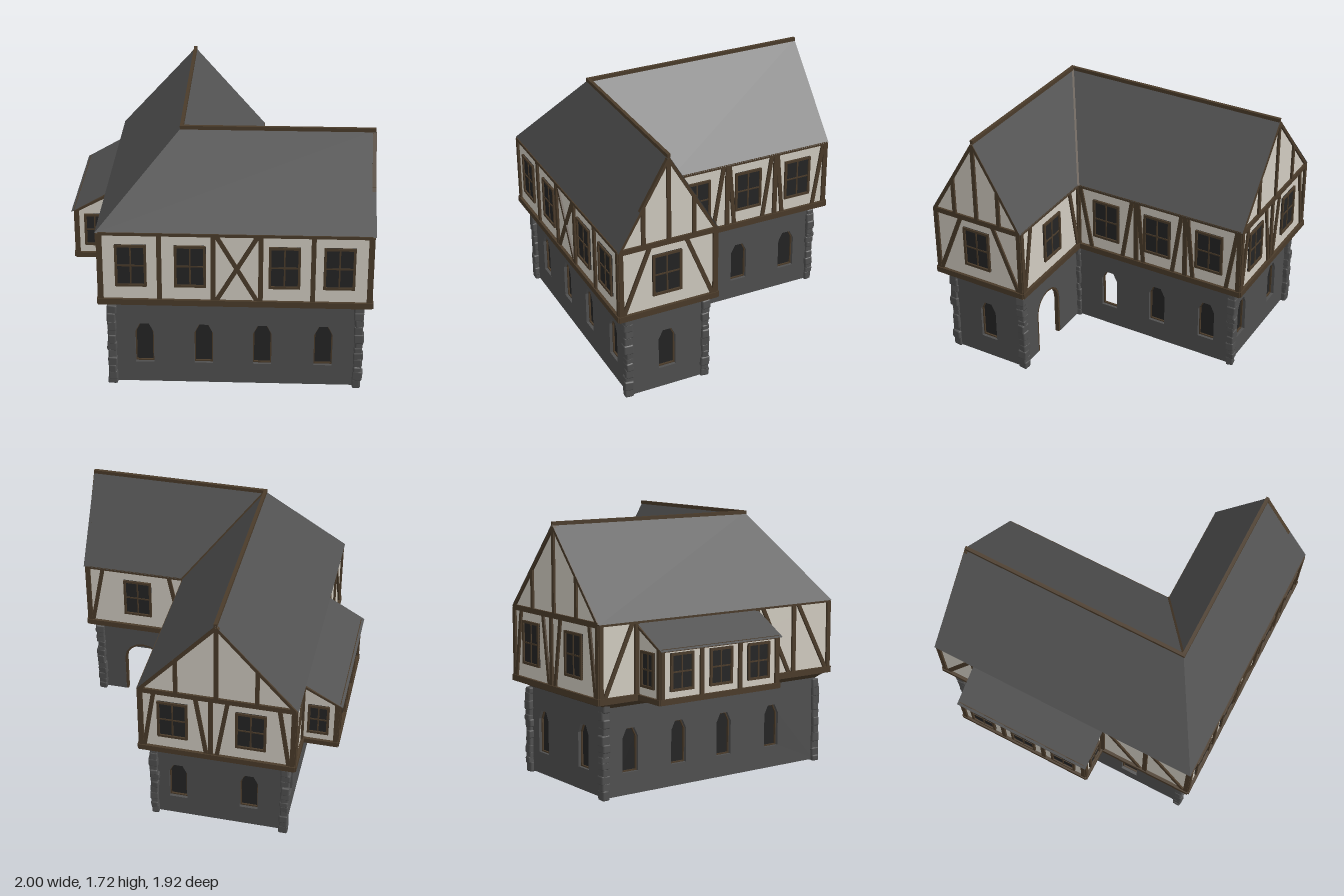
import * as THREE from 'three';
import { RoundedBoxGeometry } from 'three/addons/geometries/RoundedBoxGeometry.js';

const mat = (name, color, double = false) => {
  const m = new THREE.MeshStandardMaterial({ color });
  m.name = name;
  if (double) m.side = THREE.DoubleSide;
  return m;
};

export function createModel() {
  const plaster = mat('plaster', 0xd0cbc0, true);
  const timber = mat('timber', 0x4a3b2a, true);
  const stone = mat('stone', 0x4f4f4f, true);
  const slate = mat('slate', 0x515151, true);
  const glass = mat('darkGlass', 0x242424, true);
  const model = new THREE.Group();
  model.name = 'timberFramedHouse';

  let seed = 7;
  const rand = () => (seed = (seed * 16807) % 2147483647) / 2147483647;
  const add = (parent, name, geo, material, x = 0, y = 0, z = 0) => {
    const m = new THREE.Mesh(geo, material);
    m.name = name;
    m.position.set(x, y, z);
    parent.add(m);
    return m;
  };
  // One side of the house: local x runs along the wall, local z points outward
  const side = (name, angle, x, z) => {
    const g = new THREE.Group();
    g.name = name;
    g.rotation.y = angle;
    g.position.set(x, 0, z);
    model.add(g);
    return g;
  };
  const poly = (pts) => new THREE.Shape(pts.map(([x, y]) => new THREE.Vector2(x, y)));
  const beam = (g, x1, y1, x2, y2, w = 0.03, d = 0.024) => {
    const m = add(g, 'beam', new THREE.BoxGeometry(Math.hypot(x2 - x1, y2 - y1), w, d),
      timber, (x1 + x2) / 2, (y1 + y2) / 2, 0.002);
    m.rotation.z = Math.atan2(y2 - y1, x2 - x1);
  };
  const quads = (name, list, material) => {
    const pos = [];
    for (const [a, b, c, d] of list) pos.push(...a, ...b, ...c, ...a, ...c, ...d);
    const geo = new THREE.BufferGeometry();
    geo.setAttribute('position', new THREE.Float32BufferAttribute(pos, 3));
    geo.computeVertexNormals();
    return add(model, name, geo, material);
  };

  // Leaded window with frame and glazing bars
  const window4 = (g, x, w = 0.2, y0 = 0.76, y1 = 1.05) => {
    const y = (y0 + y1) / 2, h = y1 - y0, f = 0.016;
    add(g, 'windowGlass', new THREE.BoxGeometry(w, h, 0.009), glass, x, y, 0);
    for (const s of [-1, 1]) {
      add(g, 'windowFrame', new THREE.BoxGeometry(f, h, 0.03), timber, x + s * (w - f) / 2, y, 0);
      add(g, 'windowFrame', new THREE.BoxGeometry(w, f, 0.03), timber, x, y + s * (h - f) / 2, 0);
    }
    add(g, 'glazingBar', new THREE.BoxGeometry(0.01, h, 0.018), timber, x, y, 0);
    add(g, 'glazingBar', new THREE.BoxGeometry(w, 0.01, 0.018), timber, x, y, 0);
  };

  // Ground floor: stone wall with chamfer-headed windows and an optional door
  const arch = (x, i = 0) => [[x - 0.06 + i, 0.16 + i], [x + 0.06 - i, 0.16 + i], [x + 0.06 - i, 0.385],
    [x + 0.03 - i / 2, 0.445 - i], [x - 0.03 + i / 2, 0.445 - i], [x - 0.06 + i, 0.385]];
  const doorPts = (x, r) => {
    const p = [[x - r, 0.015]];
    for (let i = 0; i <= 8; i++) {
      const a = Math.PI * (1 - i / 8);
      p.push([x + r * Math.cos(a), 0.31 + r * Math.sin(a)]);
    }
    p.push([x + r, 0.015]);
    return p;
  };
  const lowerWall = (g, u0, u1, wins, open = [], door = null) => {
    const shape = poly([[u0, 0.015], ...(door === null ? [] : doorPts(door, 0.14)), [u1, 0.015], [u1, 0.61], [u0, 0.61]]);
    for (const x of wins) {
      shape.holes.push(poly(arch(x)));
      const frame = poly(arch(x));
      frame.holes.push(poly(arch(x, 0.008)));
      add(g, 'archWindowFrame', new THREE.ExtrudeGeometry(frame, { depth: 0.015, bevelEnabled: false }), timber, 0, 0, -0.035);
      if (!open.includes(x)) add(g, 'archWindowGlass', new THREE.ShapeGeometry(poly(arch(x))), glass, 0, 0, -0.032);
    }
    add(g, 'stoneWall', new THREE.ExtrudeGeometry(shape, { depth: 0.04, bevelEnabled: false }), stone, 0, 0, -0.04);
    if (door !== null) {
      const frame = poly([...doorPts(door, 0.14), ...doorPts(door, 0.125).reverse()]);
      add(g, 'doorFrame', new THREE.ExtrudeGeometry(frame, { depth: 0.03, bevelEnabled: false }), timber, 0, 0, -0.032);
    }
  };
  const H = Math.PI / 2;
  lowerWall(side('lowerFront', 0, 0, 0.87), -0.69, 0.93, [-0.47, -0.085, 0.295, 0.69]);
  lowerWall(side('lowerEnd', H, 0.93, 0), -0.87, -0.33, [-0.6]);
  lowerWall(side('lowerInnerRight', H, 0.21, 0), -0.33, 0.87, [-0.07, 0.305, 0.685], [-0.07]);
  lowerWall(side('lowerInnerBack', 2 * H, 0, 0.33), -0.93, -0.21, [], [], -0.6);
  lowerWall(side('lowerBack', 2 * H, 0, -0.87), -0.21, 0.69, [-0.04, 0.44]);
  lowerWall(side('lowerLeft', -H, -0.69, 0), -0.87, 0.87, [-0.68, -0.3, 0.07, 0.48]);

  // Rough corner pillars of stacked stones
  for (const [x, z] of [[-0.68, 0.87], [0.915, 0.87], [0.915, 0.33], [0.2, 0.33], [0.2, -0.875], [-0.68, -0.875]]) {
    const g = new THREE.Group();
    g.name = 'cornerPillar';
    g.position.set(x, 0, z);
    model.add(g);
    for (let y = 0.005; y < 0.57;) {
      const h = 0.03 + rand() * 0.03;
      const s = add(g, 'pillarStone', new RoundedBoxGeometry(0.05 + rand() * 0.016, h + 0.012, 0.05 + rand() * 0.016, 1, 0.01),
        stone, (rand() - 0.5) * 0.008, y + h / 2 + 0.006, (rand() - 0.5) * 0.008);
      s.rotation.set((rand() - 0.5) * 0.16, (rand() - 0.5) * 0.3, (rand() - 0.5) * 0.16);
      y += h;
    }
  }

  // Sloping jetty between the two floors
  const low = [[-0.69, 0.87], [0.93, 0.87], [0.93, 0.33], [0.21, 0.33], [0.21, -0.87], [-0.69, -0.87]];
  const up = [[-0.74, 0.94], [0.975, 0.94], [0.975, 0.28], [0.265, 0.28], [0.265, -0.945], [-0.74, -0.945]];
  quads('jetty', low.map((p, i) => {
    const j = (i + 1) % 6;
    return [[p[0], 0.59, p[1]], [low[j][0], 0.59, low[j][1]], [up[j][0], 0.635, up[j][1]], [up[i][0], 0.635, up[i][1]]];
  }), timber);

  // Upper floor: plaster wall with sill, top plate, posts and braces; optional gable apex
  const upperWall = (g, u0, u1, { posts = [], braces = [], wins = [], apex = null }) => {
    const pts = [[u0, 0.63], [u1, 0.63], [u1, 1.13]];
    if (apex !== null) pts.push([apex, 1.695]);
    pts.push([u0, 1.13]);
    add(g, 'plasterWall', new THREE.ShapeGeometry(poly(pts)), plaster);
    beam(g, u0 - 0.012, 0.65, u1 + 0.012, 0.65, 0.04, 0.036);
    beam(g, u0, 1.125, u1, 1.125, apex === null ? 0.02 : 0.035);
    for (const x of [u0 + 0.008, ...posts, u1 - 0.008]) beam(g, x, 0.64, x, 1.125);
    for (const [a, b] of braces) beam(g, a, 1.12, b, 0.665, 0.027, 0.02);
    for (const x of wins) window4(g, x);
    if (apex === null) return;
    const half = (u1 - u0) / 2;
    for (const k of [-0.52, 0, 0.52]) beam(g, apex + k * half, 1.13, apex + k * half, 1.69 - Math.abs(k) * 0.56, 0.026);
    for (const u of [u0, u1]) beam(g, u, 1.125, apex, 1.69, 0.02);
  };
  upperWall(side('upperFront', 0, 0, 0.94), -0.74, 0.975, {
    posts: [-0.36, -0.02, 0.28, 0.61], braces: [[0, 0.26], [0.26, 0]], wins: [-0.54, -0.165, 0.43, 0.775],
  });
  upperWall(side('upperEndGable', H, 0.975, 0), -0.94, -0.28, {
    braces: [[-0.735, -0.92], [-0.49, -0.305]], wins: [-0.62], apex: -0.607,
  });
  upperWall(side('upperInnerRight', H, 0.265, 0), -0.28, 0.945, {
    posts: [0.175, 0.545], wins: [-0.055, 0.335, 0.72],
    braces: [[-0.255, -0.17], [0.145, 0.07], [0.19, 0.23], [0.515, 0.45], [0.56, 0.605], [0.92, 0.85]],
  });
  upperWall(side('upperInnerBack', 2 * H, 0, 0.28), -0.975, -0.265, {
    braces: [[-0.86, -0.95], [-0.38, -0.29]], wins: [-0.61],
  });
  upperWall(side('upperBackGable', 2 * H, 0, -0.945), -0.265, 0.74, {
    posts: [0.2], braces: [[-0.17, -0.24], [0.1, 0.17], [0.31, 0.24], [0.64, 0.71]], wins: [-0.05, 0.46], apex: 0.235,
  });
  upperWall(side('upperLeft', -H, -0.74, 0), -0.945, 0.94, {
    posts: [-0.67, 0.3, 0.62], braces: [[-0.7, -0.91], [0.35, 0.58], [0.66, 0.91]],
  });

  // Lean-to bay on the left side
  const bayEnd = (name, angle, z, s) => {
    const g = side(name, angle, 0, z);
    add(g, 'bayPlaster', new THREE.ShapeGeometry(poly([[-0.97, 0.64], [-0.74, 0.64], [-0.74, 1.1], [-0.97, 0.975]]
      .map(([x, y]) => [x * s, y]))), plaster);
    beam(g, s * -0.982, 0.65, s * -0.74, 0.65, 0.035, 0.034);
    beam(g, s * -0.963, 0.64, s * -0.963, 0.98, 0.028);
    beam(g, s * -0.975, 0.97, s * -0.74, 1.095, 0.015);
    window4(g, s * -0.845, 0.14, 0.72, 0.95);
  };
  bayEnd('bayFront', 0, 0.285, 1);
  bayEnd('bayBack', 2 * H, -0.65, -1);
  const bay = side('bayOuter', -H, -0.97, 0);
  add(bay, 'bayPlaster', new THREE.ShapeGeometry(poly([[-0.65, 0.64], [0.285, 0.64], [0.285, 0.98], [-0.65, 0.98]])), plaster);
  beam(bay, -0.66, 0.65, 0.295, 0.65, 0.035, 0.034);
  beam(bay, -0.65, 0.97, 0.285, 0.97, 0.02);
  for (const x of [-0.64, -0.335, -0.03, 0.275]) beam(bay, x, 0.64, x, 0.975, 0.028);
  for (const x of [-0.49, -0.183, 0.122]) window4(bay, x, 0.18, 0.71, 0.95);
  add(model, 'bayFloor', new THREE.BoxGeometry(0.24, 0.012, 0.935), timber, -0.855, 0.64, -0.1825);
  quads('bayRoof', [[[-1, 0.968, -0.665], [-1, 0.968, 0.305], [-0.745, 1.115, 0.305], [-0.745, 1.115, -0.665]]], slate);

  // Main roof over both wings: hip at the outer corner, valley at the inner one
  const E = 1.13, T = 1.71;
  const R = [-0.23, T, 0.605], C = [-0.76, E, 0.95], V = [0.28, E, 0.265];
  const A1 = [0.995, E, 0.95], A2 = [0.985, T, 0.605], A3 = [0.995, E, 0.265];
  const B1 = [-0.76, E, -0.957], B2 = [-0.23, T, -0.957], B3 = [0.28, E, -0.957];
  quads('roof', [[C, A1, A2, R], [A3, V, R, A2], [B1, C, R, B2], [V, B3, B2, R]], slate);

  // Ridge and valley timbers
  add(model, 'ridgeFrontWing', new THREE.BoxGeometry(1.225, 0.024, 0.022), timber, 0.3725, 1.71, 0.605);
  add(model, 'ridgeBackWing', new THREE.BoxGeometry(0.022, 0.024, 1.573), timber, -0.23, 1.71, -0.17);
  const a = new THREE.Vector3(...V), b = new THREE.Vector3(...R);
  const valley = add(model, 'valleyBeam', new THREE.BoxGeometry(0.014, 0.014, a.distanceTo(b)), timber);
  valley.position.copy(a).add(b).multiplyScalar(0.5);
  valley.lookAt(b);

  return model;
}
